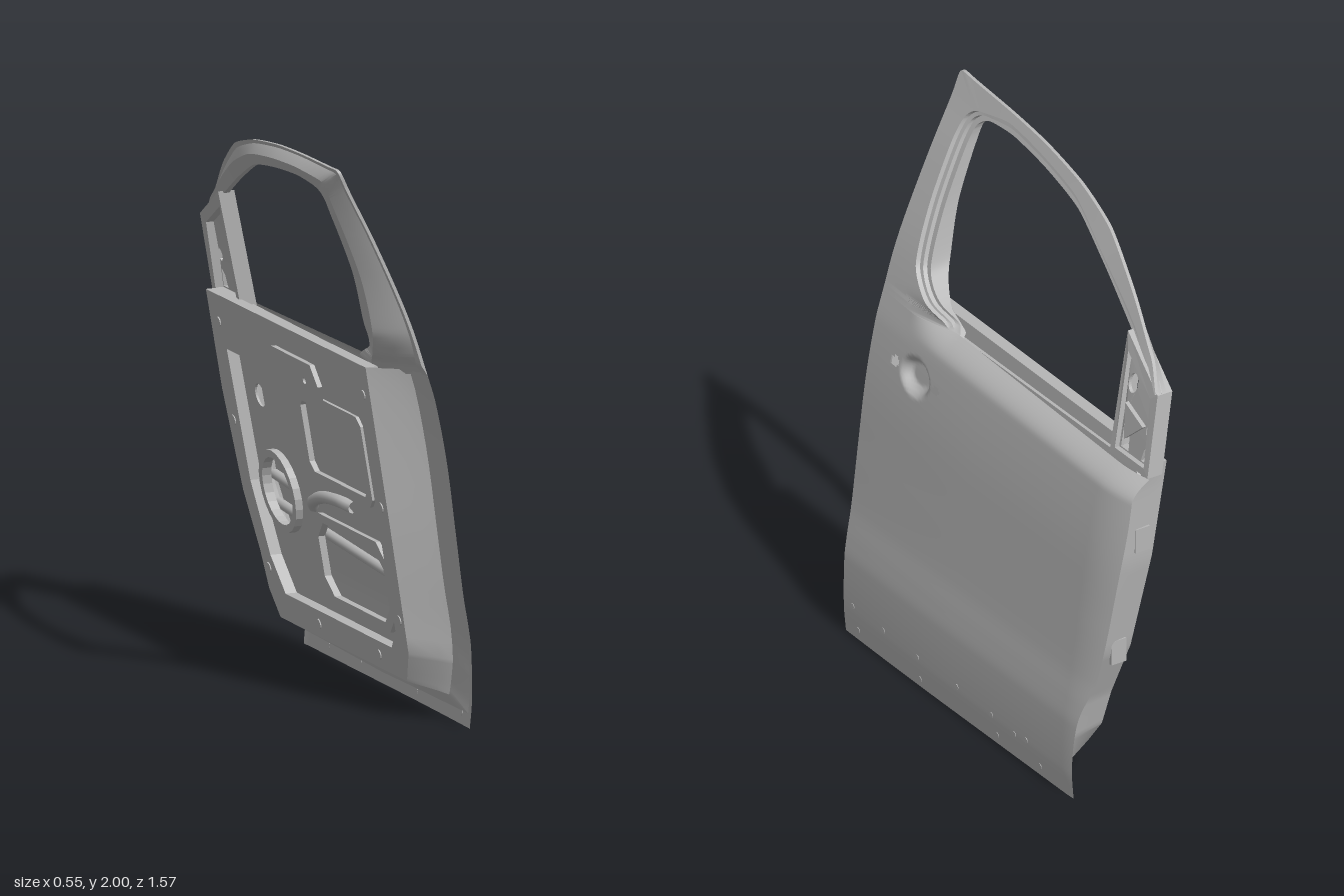
import * as THREE from 'three';
import { toCreasedNormals } from 'three/addons/utils/BufferGeometryUtils.js';

const paint = new THREE.MeshStandardMaterial({ color: 0xb6b6b6, side: THREE.DoubleSide });
paint.name = 'primer grey';

const { clamp, smoothstep, lerp } = THREE.MathUtils;

// Smooth curve through [position, value] rows
function curveThrough(rows) {
  const slope = (i) => {
    const a = rows[Math.max(i - 1, 0)], b = rows[Math.min(i + 1, rows.length - 1)];
    return (b[1] - a[1]) / (b[0] - a[0]);
  };
  return (p) => {
    let i = 0;
    while (i < rows.length - 2 && p > rows[i + 1][0]) i++;
    const [a, va] = rows[i], [b, vb] = rows[i + 1], h = b - a, t = clamp((p - a) / h, 0, 1);
    const t2 = t * t, t3 = t2 * t;
    return (2 * t3 - 3 * t2 + 1) * va + (t3 - 2 * t2 + t) * h * slope(i)
      + (3 * t2 - 2 * t3) * vb + (t3 - t2) * h * slope(i + 1);
  };
}

// Door curvature by height, leading edge, trailing edge, belt line and inner panel
const bulge = curveThrough([[0, 0.265], [0.1, 0.272], [0.28, 0.267], [0.36, 0.256], [0.47, 0.236], [0.68, 0.207],
  [0.94, 0.17], [1.15, 0.127], [1.25, 0.096], [1.42, 0.038], [1.55, -0.016], [1.76, -0.115], [1.9, -0.188], [2, -0.238]]);
const frontZ = curveThrough([[0, -0.656], [0.18, -0.66], [0.33, -0.682], [0.49, -0.735], [0.84, -0.77],
  [1.07, -0.78], [1.26, -0.765]]);
const rearZ = (y) => 0.733 + 0.025 * y;
const beltY = (z) => 1.24 + 0.026 * z;
const innerX = (y) => 0.147 - 0.172 * y;

function skinX(y, z) {
  const front = 0.025 * clamp((-0.6 - z) / 0.18, 0, 1) ** 2;
  const rear = 0.008 * clamp((z - 0.1) / 0.68, 0, 1) ** 2;
  const shoulder = 0.058 * clamp((y - beltY(z)) / 0.07 + 1, 0, 1) ** 2
    * (1 - smoothstep(z, 0.36, 0.58)) * (1 - smoothstep(y, 1.25, 1.38));
  return bulge(y) - front - rear - shoulder;
}

// Surface from a grid rule, with optional cells left out
function gridGeometry(nu, nv, rule, skip = () => false) {
  const pos = [], index = [];
  for (let j = 0; j <= nv; j++) for (let i = 0; i <= nu; i++) pos.push(...rule(i / nu, j / nv, j));
  for (let j = 0; j < nv; j++) for (let i = 0; i < nu; i++) {
    const a = j * (nu + 1) + i, b = a + nu + 1;
    if (skip(pos[3 * a + 1], pos[3 * a + 2])) continue;
    index.push(a, b, b + 1, a, b + 1, a + 1);
  }
  const g = new THREE.BufferGeometry();
  g.setAttribute('position', new THREE.Float32BufferAttribute(pos, 3));
  g.setIndex(index);
  g.computeVertexNormals();
  return g;
}

// Plate drawn in [z, y] corners, extruded along x and leaned by a rule for x
function plateGeometry(outline, holes, depth, leanX) {
  const flip = (pts) => pts.map(([z, y]) => new THREE.Vector2(-z, y));
  const shape = new THREE.Shape(flip(outline));
  holes.forEach((h) => shape.holes.push(new THREE.Path(flip(h))));
  const g = new THREE.ExtrudeGeometry(shape, { depth, bevelEnabled: false });
  g.rotateY(Math.PI / 2);
  const p = g.attributes.position;
  for (let i = 0; i < p.count; i++) p.setX(i, p.getX(i) + leanX(p.getY(i)));
  g.computeVertexNormals();
  return g;
}
const oval = (z, y, rz, ry = rz, n = 24) => Array.from({ length: n }, (_, i) => {
  const a = (i / n) * Math.PI * 2;
  return [z + rz * Math.cos(a), y + ry * Math.sin(a)];
});
const rect = (z0, z1, y0, y1, c = 0.03) => [[z0 + c, y0], [z1 - c, y0], [z1, y0 + c], [z1, y1 - c],
  [z1 - c, y1], [z0 + c, y1], [z0, y1 - c], [z0, y0 + c]];

export function createModel() {
  const door = new THREE.Group();
  door.name = 'door';
  const add = (name, geometry) => {
    const m = new THREE.Mesh(geometry, paint);
    m.name = name;
    door.add(m);
    return m;
  };

  // Outer skin with the handle dish and two handle openings
  const inOval = (y, z, cz, rz, ry) => Math.hypot((z - cz) / rz, (y - 1.065) / ry);
  add('outerSkin', gridGeometry(160, 130, (u, v) => {
    const y0 = v * 1.245, z = lerp(frontZ(y0), rearZ(y0), u);
    const y = v * beltY(z);
    const dish = 0.035 * (1 - smoothstep(inOval(y, z, 0.485, 0.09, 0.068), 0.6, 1));
    return [skinX(y, z) - dish, y, z];
  }, (y, z) => inOval(y, z, 0.605, 0.026, 0.018) < 1 || inOval(y, z, 0.36, 0.026, 0.014) < 1));

  // Window frame: outer z, y, inner z, y and depth along the rail
  const rail = [[0.764, 1.24, 0.36, 1.24, 0.11], [0.765, 1.28, 0.4, 1.268, 0.115], [0.767, 1.32, 0.49, 1.312, 0.12],
    [0.77, 1.4, 0.585, 1.4, 0.115],
    [0.773, 1.6, 0.625, 1.6, 0.085], [0.777, 1.8, 0.638, 1.8, 0.07], [0.781, 1.93, 0.632, 1.865, 0.06],
    [0.783, 1.998, 0.605, 1.893, 0.055], [0.7, 1.998, 0.56, 1.907, 0.055], [0.455, 1.99, 0.43, 1.913, 0.055],
    [0.24, 1.975, 0.22, 1.893, 0.055], [0, 1.94, -0.01, 1.85, 0.05], [-0.217, 1.88, -0.24, 1.757, 0.05],
    [-0.42, 1.778, -0.4, 1.683, 0.05], [-0.54, 1.705, -0.5, 1.635, 0.05], [-0.667, 1.615, -0.64, 1.568, 0.05],
    [-0.735, 1.525, -0.73, 1.512, 0.05]];
  const spline = (a, b, c) => new THREE.CatmullRomCurve3(
    rail.map((r) => new THREE.Vector3(r[a], r[b], r[c])), false, 'catmullrom', 0.35);
  const outerRail = spline(0, 1, 4), innerRail = spline(2, 3, 4);
  // Section rows: share of the width, distance from the glass edge, inset, share of depth
  const section = [[0, 9, 0, 0], [0.4, 9, 0, 0], [1, 0.048, 0, 0], [1, 0.042, 0.014, 0], [1, 0.026, 0.016, 0],
    [1, 0.022, 0.03, 0], [1, 0, 0.03, 0], [1, 0, 0, 1], [0.55, 9, 0, 1], [0.3, 9, 0, 0.55], [0.15, 9, 0.012, 0],
    [0, 9, 0.012, 0], [0, 9, 0, 0]];
  const frame = gridGeometry(128, section.length - 1, (u, v, j) => {
    const o = outerRail.getPoint(u), n = innerRail.getPoint(u);
    const [s, w, inset, deep] = section[j];
    const width = Math.hypot(n.x - o.x, n.y - o.y);
    const t = w === 9 ? s : clamp(1 - w / width, 0.3, 1);
    const z = lerp(o.x, n.x, t), y = lerp(o.y, n.y, t);
    // The glass edge stays shallow around the lower corner
    const edge = s === 1 ? lerp(0.25, 1, smoothstep(u, 0.05, 0.22)) : 1;
    return [skinX(y, z) - inset * smoothstep(u, 0, 0.09) - deep * edge * o.z, y, z];
  });
  add('windowFrame', toCreasedNormals(frame, 0.6));

  // Mirror mount in the front corner of the window, deeper towards the belt
  const corner = [[-0.495, 1.645], [-0.735, 1.515], [-0.765, 1.225], [-0.535, 1.225]];
  const cornerHole = [[-0.525, 1.585], [-0.7, 1.49], [-0.735, 1.25], [-0.56, 1.25]];
  const behind = (top, belt) => (y) => bulge(y) - lerp(belt, top, (y - 1.225) / 0.42);
  add('mirrorMountRim', plateGeometry(corner, [cornerHole], 0.06, behind(0.068, 0.13)));
  add('mirrorMountPlate', plateGeometry(corner, [oval(-0.572, 1.485, 0.026, 0.034),
    [[-0.57, 1.255], [-0.615, 1.255], [-0.6, 1.36], [-0.565, 1.37]], oval(-0.708, 1.37, 0.016, 0.022),
    [[-0.69, 1.255], [-0.73, 1.255], [-0.72, 1.32], [-0.7, 1.3]]], 0.012, behind(0.04, 0.1)));
  add('mirrorBracket', plateGeometry([[-0.57, 1.42], [-0.69, 1.38], [-0.6, 1.3]], [], 0.015, behind(0.028, 0.085)));

  // Side walls joining the inner panel to the skin: inner z, y and outer z, y
  const wall = [[0.6, 1.26, 0.757, 1.25], [0.585, 0.7, 0.742, 0.7], [0.565, 0.24, 0.73, 0.2], [0.51, 0.13, 0.72, 0.05],
    [0, 0.13, 0, 0.04], [-0.54, 0.13, -0.645, 0.05], [-0.6, 0.22, -0.652, 0.2], [-0.625, 0.35, -0.675, 0.35],
    [-0.69, 0.55, -0.738, 0.55], [-0.73, 0.9, -0.765, 0.9], [-0.73, 1.25, -0.758, 1.22]];
  const wallSection = [[0, 0], [0.3, 0.6], [0.45, 0.86], [1, 1]];
  const walls = gridGeometry(80, 3, (u, v, j) => {
    const k = Math.min(Math.floor(u * 10), 9), f = u * 10 - k;
    const [iz, iy, oz, oy] = wall[k].map((n, c) => lerp(n, wall[k + 1][c], f));
    const [t, d] = wallSection[j];
    return [lerp(innerX(iy), skinX(oy, oz) - 0.005, d), lerp(iy, oy, t), lerp(iz, oz, t)];
  });
  add('sideWalls', toCreasedNormals(walls, 0.5));

  // Inner panel: raised rim and recessed centre with openings
  const inside = (d) => (y) => innerX(y) + d;
  const rim = wall.map(([z, y]) => [z, y]);
  const centre = [[0.49, 1.06], [0.48, 0.3], [0.42, 0.23], [-0.46, 0.23], [-0.54, 0.35], [-0.61, 0.6], [-0.63, 1.06]];
  add('innerRim', plateGeometry(rim, [centre], 0.045, innerX));
  add('innerPanel', plateGeometry(rim.map(([z, y]) => [z * 0.95, clamp(y, 0.18, 1.15)]),
    [oval(-0.42, 0.6, 0.12), rect(-0.12, 0.36, 0.74, 1.0), rect(-0.14, 0.4, 0.3, 0.56, 0.06),
      oval(-0.5, 0.92, 0.04)], 0.008, inside(0.042)));
  add('speakerRing', plateGeometry(oval(-0.42, 0.6, 0.145), [oval(-0.42, 0.6, 0.118)], 0.03, inside(0.015)));
  add('upperOpeningRim', plateGeometry(rect(-0.15, 0.39, 0.71, 1.03), [rect(-0.12, 0.36, 0.74, 1.0)], 0.015, inside(0.03)));
  add('lowerOpeningRim', plateGeometry(rect(-0.18, 0.44, 0.27, 0.59, 0.07), [rect(-0.14, 0.4, 0.3, 0.56, 0.06)], 0.02, inside(0.025)));
  add('beltBracket', plateGeometry([[-0.22, 1.06], [-0.18, 1.17], [0.14, 1.17], [0.18, 1.1], [0.12, 1.02], [-0.14, 1.02]],
    [oval(0.07, 1.1, 0.012)], 0.03, inside(-0.018)));
  add('beltReinforcement', plateGeometry(rect(-0.7, 0.6, 1.13, 1.23), [], 0.012, inside(0.075)));

  // Pull handle bracket
  const onPanel = (z, y, d) => new THREE.Vector3(innerX(y) + d, y, z);
  const pull = new THREE.CatmullRomCurve3([onPanel(-0.17, 0.6, 0.04), onPanel(-0.12, 0.63, 0.02),
    onPanel(0, 0.67, 0.012), onPanel(0.12, 0.68, 0.02), onPanel(0.18, 0.67, 0.04)]);
  add('pullBracket', new THREE.TubeGeometry(pull, 24, 0.022, 8));

  // Impact beams behind the skin
  [[0.42, 0.5], [0.5, 0.6]].forEach(([a, b]) => add('impactBeam', new THREE.TubeGeometry(
    new THREE.LineCurve3(new THREE.Vector3(bulge(a) - 0.06, a, 0.6), new THREE.Vector3(bulge(b) - 0.06, b, -0.66)),
    1, 0.018, 10)));

  // Hinge pads on the leading wall
  [0.55, 0.98].forEach((y) => {
    const pad = add('hingePad', new THREE.BoxGeometry(0.06, 0.09, 0.012));
    pad.position.set(innerX(y) + 0.06, y, frontZ(y) + 0.042);
  });

  // Rim plugs on the inner side and clips along the sill
  [[0.53, 0.35], [0.535, 0.75], [0.54, 1.15], [-0.66, 1.15], [-0.67, 0.8], [-0.57, 0.3], [0.3, 0.18], [-0.2, 0.18]]
    .forEach(([z, y]) => add('rimPlug', plateGeometry(oval(z, y, 0.018, 0.018, 12), [], 0.008, inside(-0.004))));
  [[0.68, 0.12], [0.49, 0.115], [0.28, 0.11], [0.04, 0.11], [-0.17, 0.1], [-0.31, 0.09], [-0.38, 0.1], [0.65, 0.04], [0.27, 0.03],
    [-0.2, 0.035], [-0.46, 0.035]].forEach(([z, y]) => add('sillClip',
    plateGeometry(oval(z, y, 0.011, 0.011, 10), [], 0.003, (h) => skinX(h, z) - 0.001)));

  return door;
}
